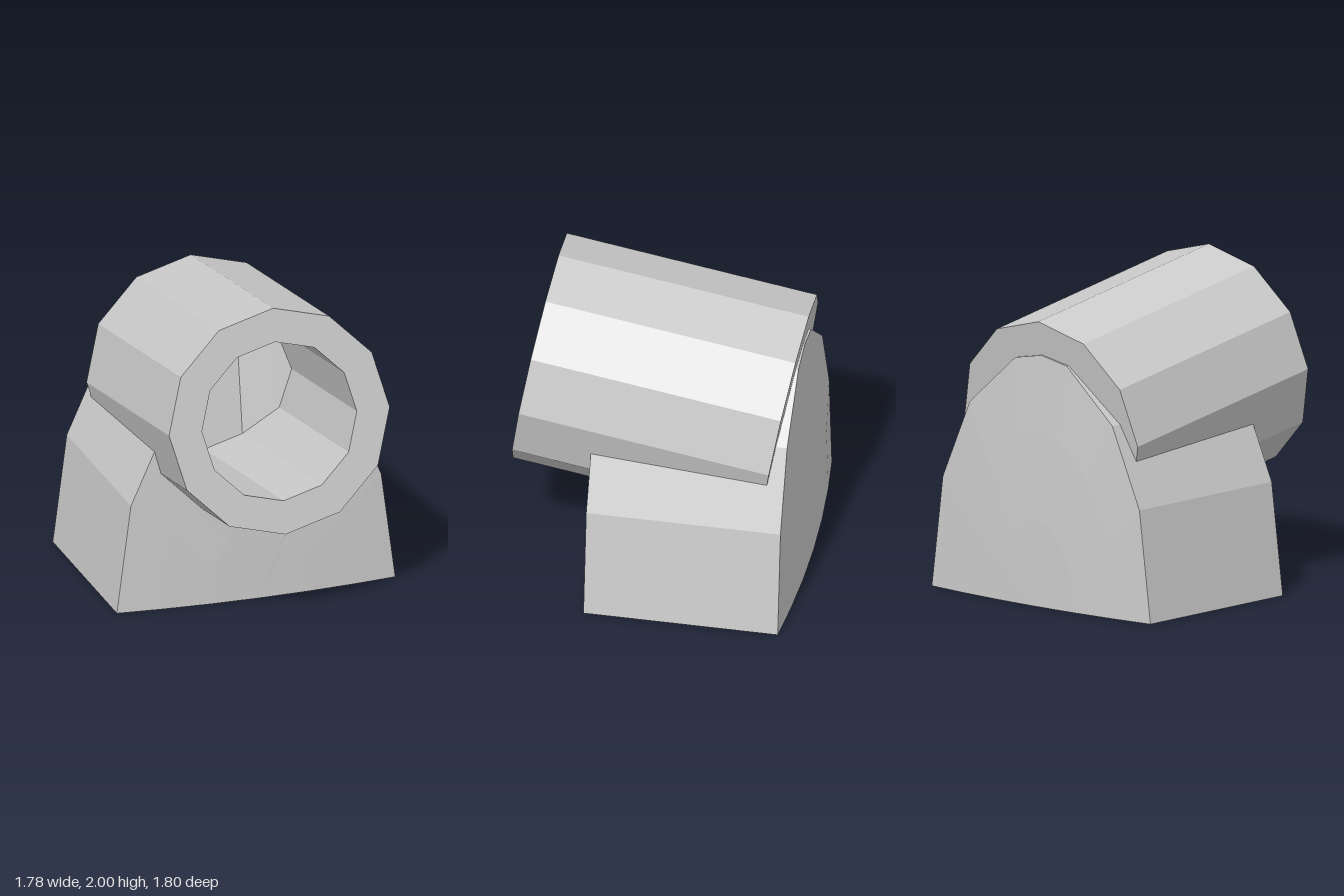
import * as THREE from 'three';

const material = new THREE.MeshStandardMaterial({ color: 0xcccccc, flatShading: true });

// Faceted surface through rows of [x, y, z] points
function surface(name, rows) {
  const pos = [];
  for (let i = 0; i < rows.length - 1; i++) {
    for (let j = 0; j < rows[i].length - 1; j++) {
      const a = rows[i][j], b = rows[i][j + 1], c = rows[i + 1][j + 1], d = rows[i + 1][j];
      pos.push(...a, ...b, ...c, ...a, ...c, ...d);
    }
  }
  const geo = new THREE.BufferGeometry();
  geo.setAttribute('position', new THREE.Float32BufferAttribute(pos, 3));
  geo.computeVertexNormals();
  const mesh = new THREE.Mesh(geo, material);
  mesh.name = name;
  return mesh;
}

// Half outline from the right foot to the middle, completed by mirroring
const mirrored = half => [...half, ...half.slice(0, -1).reverse().map(([x, y, z]) => [-x, y, z])];

function createTube() {
  const tube = new THREE.Group();
  tube.name = 'tube';
  const R = 0.705, r = 0.495, length = 1.56, sides = 12;

  // Outer shell with closed back and front rim
  const profile = [[0, 0], [R, 0], [R, length], [r, length]].map(p => new THREE.Vector2(...p));
  const shell = new THREE.Mesh(new THREE.LatheGeometry(profile, sides).rotateX(Math.PI / 2), material);
  shell.name = 'tubeShell';

  // Bore with a folded end wall: flat in the middle, slanting forward at the sides
  const depth = x => (Math.abs(x) < 0.3 ? 0.06 : Math.abs(x) < 0.45 ? 0.25 : 0.33);
  const ring = (from, count, sign, z) => Array.from({ length: count }, (_, i) => {
    const a = (from + i) * Math.PI * 2 / sides, x = r * Math.sin(a);
    return [x, sign * r * Math.cos(a), z ?? depth(x)];
  });
  const bore = surface('boreWall', [ring(0, sides + 1, 1), ring(0, sides + 1, 1, length)]);
  const end = surface('boreEnd', [ring(-3, 7, -1), ring(-3, 7, 1)]);

  tube.add(shell, bore, end);
  tube.position.set(0, 1.055, -0.755);
  tube.rotation.x = -0.163;
  return tube;
}

function createBase() {
  const base = new THREE.Group();
  base.name = 'base';
  const zFront = 0.35, zBack = -0.845, frontBulge = 0.4, backBulge = -0.9;
  const side = [[0.89, 0], [0.8, 0.69], [0.58, 1.18]];
  const crown = [[0.58, 1.18], [0.21, 1.5], [0, 1.54]];
  const steps = [0, 0.35, 0.7, 1];

  // Bulging end faces: the outline shrinks toward the foot of the middle
  const bulge = (outline, center) => steps.map(s =>
    outline.map(([x, y, z]) => [x * s, y * s, center + (z - center) * s * s]));
  const at = (points, z) => points.map(([x, y]) => [x, y, z]);

  const frontOutline = mirrored([...at(side, zFront),
    [0.51, 0.94, 0.365], [0.295, 0.725, 0.385], [0, 0.645, 0.39]]);
  const backOutline = mirrored(at([...side, ...crown.slice(1)], zBack));
  base.add(surface('baseFront', bulge(frontOutline, frontBulge).reverse()));
  base.add(surface('baseBack', bulge(backOutline, backBulge)));

  // Side walls
  const left = side.slice().reverse().map(([x, y]) => [-x, y]);
  base.add(surface('leftWall', [at(side, zBack), at(side, zFront)]));
  base.add(surface('rightWall', [at(left, zBack), at(left, zFront)]));

  // Short arched lip behind the tube
  const lip = mirrored(crown.map(([x, y]) => [x, y, -0.74 - (y - 1.055) * 0.165]));
  base.add(surface('archLip', [at(lip, zBack), lip]));

  // Underside following both bulges
  const spread = [...steps.slice(1).reverse().map(s => -s), ...steps];
  const edge = (z, center) => spread.map(s => [0.89 * s, 0, center + (z - center) * s * s]);
  base.add(surface('underside', [edge(zBack, backBulge), edge(zFront, frontBulge)]));
  return base;
}

export function createModel() {
  const model = new THREE.Group();
  model.name = 'tubeOnBase';
  model.add(createTube(), createBase());
  return model;
}
